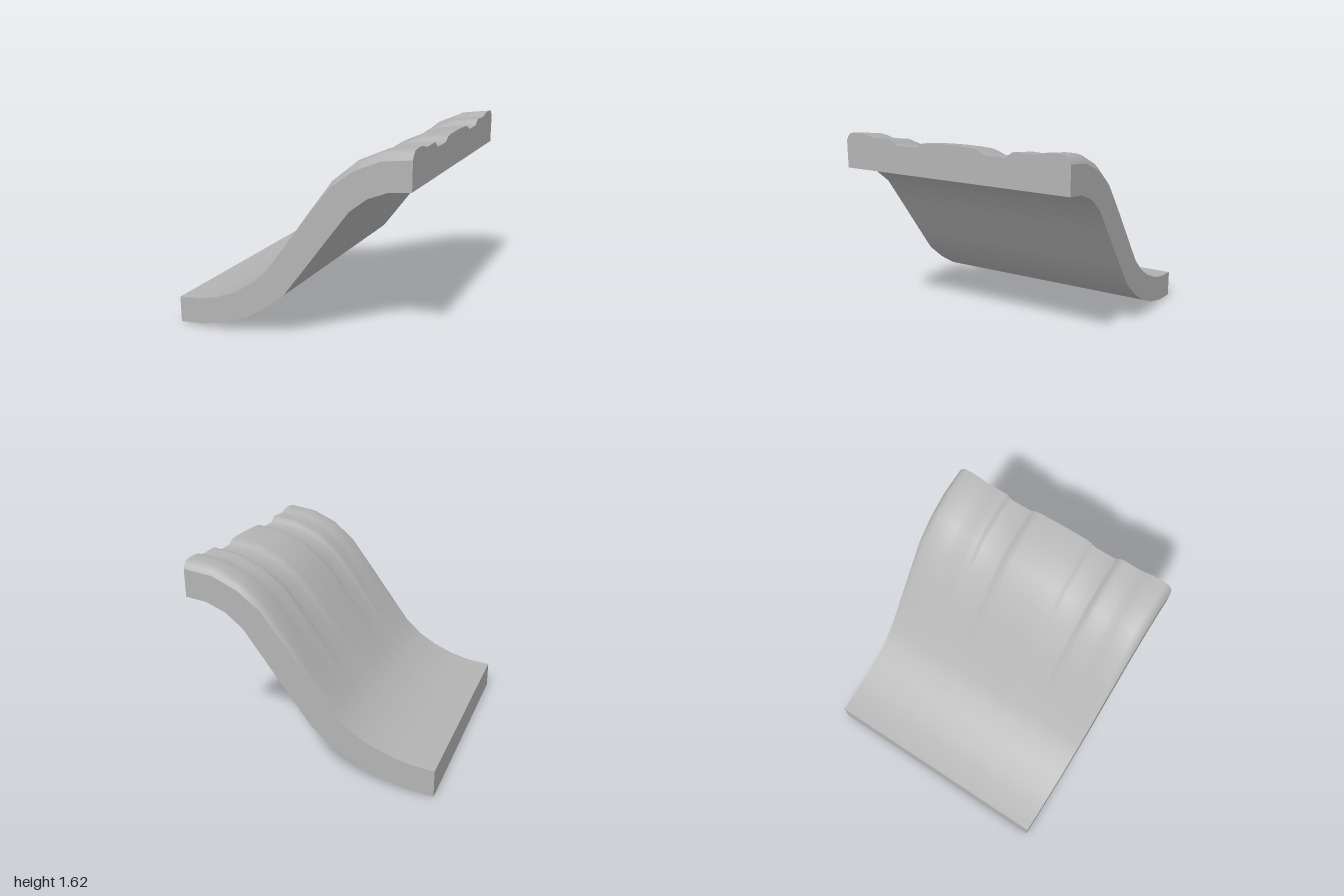
import * as THREE from 'three';

// underside and upper side of the S-shaped slab: [x, y]
const LOWER = [[-1, 0], [-0.79, 0.02], [-0.58, 0.07], [-0.37, 0.155], [-0.19, 0.265], [-0.02, 0.405],
  [0.16, 0.645], [0.35, 0.9], [0.53, 1.14], [0.67, 1.25], [0.83, 1.315], [1, 1.335]];
// [x, y, how strongly the ridges rise here]
const UPPER = [[-1, 0.22, 0], [-0.82, 0.236, 0], [-0.64, 0.28, 0], [-0.47, 0.35, 0], [-0.32, 0.44, 0], [-0.18, 0.565, 0],
  [0, 0.805, 0.2], [0.18, 1.045, 0.45], [0.38, 1.3, 0.7], [0.56, 1.437, 0.9], [0.77, 1.528, 0.96], [1, 1.557, 1]];
// ridge height across half the width: [z, rise]
const RIDGES = [[0, 0.047], [0.1, 0.045], [0.21, 0.041], [0.25, 0.034], [0.28, 0.015], [0.31, 0], [0.4, -0.001], [0.49, 0],
  [0.515, 0.022], [0.54, 0.041], [0.57, 0.046], [0.61, 0.044], [0.69, 0.039], [0.74, 0.044], [0.78, 0.058], [0.83, 0.066],
  [0.88, 0.068], [0.93, 0.064], [0.96, 0.058], [0.985, 0.03], [1, 0]];
const ACROSS = [...RIDGES.slice(1).reverse().map(([z, h]) => [-z, h]), ...RIDGES];

// surface through rows of points, with smooth normals inside the patch
function patch(rows, flip) {
  const n = rows[0].length, index = [];
  for (let i = 0; i < rows.length - 1; i++) {
    for (let j = 0; j < n - 1; j++) {
      const a = i * n + j, b = a + 1, c = a + n, d = c + 1;
      index.push(...(flip ? [a, c, b, b, c, d] : [a, b, c, b, d, c]));
    }
  }
  const g = new THREE.BufferGeometry();
  g.setAttribute('position', new THREE.Float32BufferAttribute(rows.flat(2), 3));
  g.setIndex(index);
  g.computeVertexNormals();
  return g;
}

export function createModel() {
  const group = new THREE.Group();
  group.name = 'curvedSlab';
  const grey = new THREE.MeshStandardMaterial({ color: 0xb4b4b4 });
  grey.name = 'grey';
  const add = (name, rows, flip) => {
    const mesh = new THREE.Mesh(patch(rows, flip), grey);
    mesh.name = name;
    group.add(mesh);
  };

  const top = UPPER.map(([x, y, k]) => ACROSS.map(([z, h]) => [x, y + k * h, z]));
  const bottom = LOWER.map(([x, y]) => ACROSS.map(([z]) => [x, y, z]));
  const last = ACROSS.length - 1, end = top.length - 1;

  // ridged upper face and plain underside
  add('ridgedTop', top, false);
  add('underside', bottom, true);
  // long side walls
  const edge = (rows, j) => rows.map((r) => r[j]);
  add('frontWall', [edge(bottom, last), edge(top, last)], false);
  add('backWall', [edge(bottom, 0), edge(top, 0)], true);
  // low and high end faces
  add('lowEnd', [bottom[0], top[0]], false);
  add('highEnd', [bottom[end], top[end]], true);
  return group;
}
